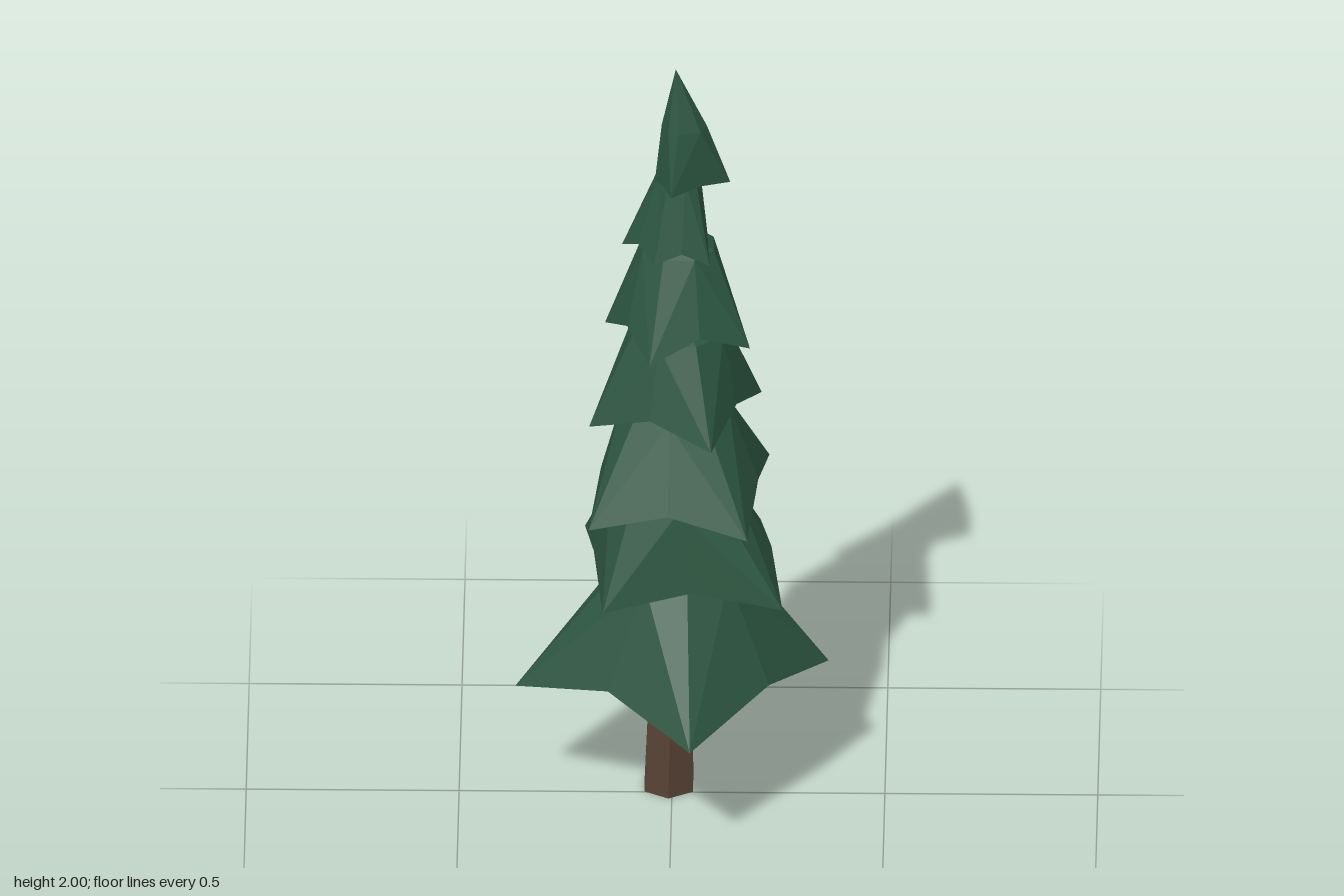
import * as THREE from 'three';

const needles = new THREE.MeshStandardMaterial({ color: 0x2c5540, flatShading: true });
needles.name = 'needle green';
const bark = new THREE.MeshStandardMaterial({ color: 0x5a4436, flatShading: true });
bark.name = 'bark brown';

// One layer of branches: four drooping tips [x, z] at height y, in order around the trunk,
// raised notches between them, a shoulder ring and a point on top.
function branchLayer({ y, tips, notches, shoulder, rise = 0.05, hollow = 0.09, peak = 0.06, lean = 0 }) {
  const [sx, sy, sz, sr] = shoulder;
  const cx = tips.reduce((s, t) => s + t[0], 0) / 4;
  const cz = tips.reduce((s, t) => s + t[1], 0) / 4;
  const between = (a, b) => [(a[0] + b[0]) / 2, (a[1] + b[1]) / 2];
  const rim = tips.flatMap(([x, z], i) => {
    const [nx, nz] = notches ? notches[i] : between(tips[i], tips[(i + 1) % 4]);
    return [[x, y, z], [nx, y + rise, nz]];
  });
  const ring = rim.map(([x, , z]) => {
    const a = Math.atan2(z - cz, x - cx);
    return [sx + Math.cos(a) * sr, sy, sz + Math.sin(a) * sr];
  });
  const apex = [sx + lean, sy + peak, sz];
  const under = [cx, y + hollow, cz];
  const pos = [];
  const tri = (a, b, c) => pos.push(...a, ...b, ...c);
  for (let i = 0; i < 8; i++) {
    const j = (i + 1) % 8;
    // Split each panel from its tip so the ridges stay crisp
    if (i % 2 === 0) {
      tri(rim[i], ring[i], ring[j]);
      tri(rim[i], ring[j], rim[j]);
    } else {
      tri(rim[i], ring[i], rim[j]);
      tri(rim[j], ring[i], ring[j]);
    }
    tri(ring[i], apex, ring[j]);
    tri(under, rim[i], rim[j]);
  }
  const g = new THREE.BufferGeometry();
  g.setAttribute('position', new THREE.Float32BufferAttribute(pos, 3));
  g.computeVertexNormals();
  return g;
}

// Tips run right, front, left, back; shoulder is [x, y, z, radius]
const layers = [
  { y: 0.322, tips: [[0.367, -0.065], [0.047, 0.38], [-0.367, 0.065], [-0.055, -0.38]],
    notches: [[0.23, 0.165], [-0.148, 0.2], [-0.21, -0.145], [0.16, -0.218]],
    shoulder: [0.02, 0.63, 0.01, 0.14], rise: 0.063, hollow: 0.16 },
  { y: 0.602, tips: [[0.262, 0.19], [-0.16, 0.21], [-0.207, -0.205], [0.205, -0.24]],
    shoulder: [0, 0.85, 0.02, 0.145] },
  { y: 0.835, tips: [[0.18, 0.273], [-0.193, 0.226], [-0.14, -0.2], [0.227, -0.14]],
    shoulder: [0.01, 1.08, 0.03, 0.125] },
  { y: 1.055, tips: [[0.21, -0.05], [0.095, 0.242], [-0.193, 0.12], [-0.07, -0.168]],
    shoulder: [0.015, 1.28, 0.03, 0.115] },
  { y: 1.278, tips: [[0.185, 0.135], [-0.05, 0.224], [-0.157, 0.015], [0.075, -0.095]],
    shoulder: [0.015, 1.5, 0.03, 0.09] },
  { y: 1.495, tips: [[0.09, 0.125], [-0.04, 0.125], [-0.117, 0.025], [0.077, -0.082]],
    shoulder: [0.018, 1.7, 0.032, 0.05], rise: 0.03 },
  { y: 1.7, tips: [[0.138, 0.085], [0, 0.165], [-0.039, 0.08], [-0.012, -0.005]],
    shoulder: [0.03, 1.85, 0.08, 0.053], rise: 0.01, peak: 0.15, lean: -0.02 },
];

export function createModel() {
  const tree = new THREE.Group();
  tree.name = 'pineTree';

  // Six-sided trunk, leaning slightly forward as it rises
  const height = 0.62;
  const trunkGeo = new THREE.CylinderGeometry(0.05, 0.066, height, 6);
  trunkGeo.translate(0, height / 2, 0);
  const p = trunkGeo.attributes.position;
  for (let i = 0; i < p.count; i++) {
    const t = p.getY(i) / height;
    p.setX(i, p.getX(i) - 0.008 + 0.012 * t);
    p.setZ(i, p.getZ(i) - 0.035 + 0.045 * t);
  }
  trunkGeo.computeVertexNormals();
  const trunk = new THREE.Mesh(trunkGeo, bark);
  trunk.name = 'trunk';
  tree.add(trunk);

  // Branch layers from bottom to top
  layers.forEach((layer, i) => {
    const mesh = new THREE.Mesh(branchLayer(layer), needles);
    mesh.name = `branchLayer${i + 1}`;
    tree.add(mesh);
  });
  return tree;
}
